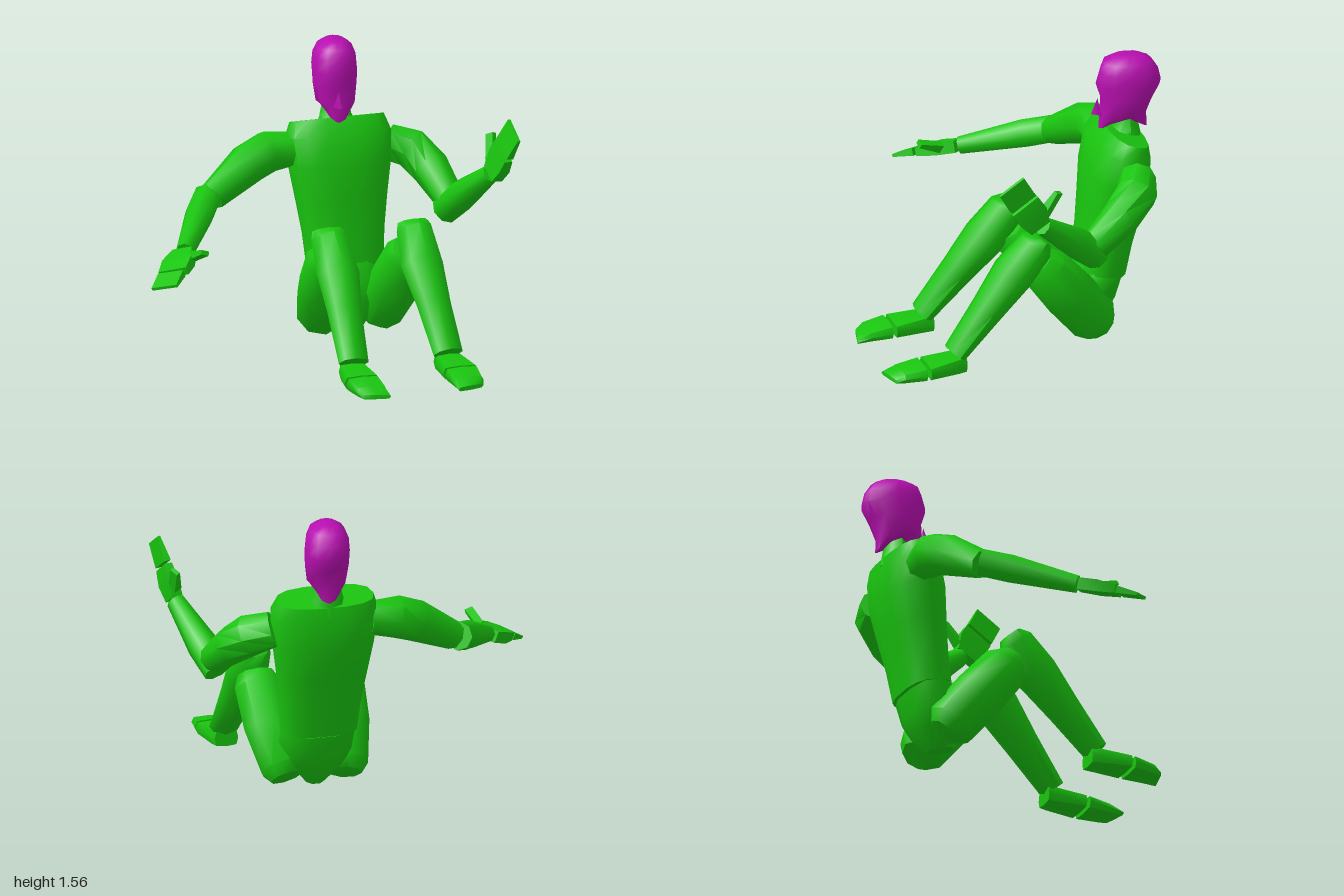
import * as THREE from 'three';
import { toCreasedNormals } from 'three/addons/utils/BufferGeometryUtils.js';

const GREEN = new THREE.MeshStandardMaterial({ color: 0x19c40f });
const PURPLE = new THREE.MeshStandardMaterial({ color: 0xb80fb0 });
const MID = 0.29; // x of the body's plane of symmetry

// Lofts rings along a path. Each section: [x, y, z, half width along side, half depth].
function loft(sections, { side = [1, 0, 0], sides = 8, power = 1, axis = null, tweak = null } = {}) {
  const centres = sections.map(s => new THREE.Vector3(s[0], s[1], s[2]));
  const last = sections.length - 1;
  const verts = [], index = [];
  const box = sides === 4;
  const shape = c => Math.sign(c) * Math.pow(Math.abs(c), power) * (box ? Math.SQRT2 : 1);
  sections.forEach((s, i) => {
    const t = axis ? new THREE.Vector3(...axis)
      : centres[Math.min(i + 1, last)].clone().sub(centres[Math.max(i - 1, 0)]).normalize();
    const u = new THREE.Vector3(...side);
    u.addScaledVector(t, -u.dot(t)).normalize();
    const v = t.clone().cross(u);
    for (let k = 0; k < sides; k++) {
      const a = (k + (box ? 0.5 : 0)) / sides * Math.PI * 2;
      const p = centres[i].clone()
        .addScaledVector(u, shape(Math.cos(a)) * s[3])
        .addScaledVector(v, shape(Math.sin(a)) * s[4]);
      verts.push(p.x, p.y, p.z);
    }
  });
  verts.push(...centres[0].toArray(), ...centres[last].toArray());
  const start = sections.length * sides;
  for (let k = 0; k < sides; k++) {
    const n = (k + 1) % sides;
    for (let i = 0; i < last; i++) {
      const a = i * sides + k, b = i * sides + n;
      index.push(a, b, b + sides, a, b + sides, a + sides);
    }
    index.push(start, n, k, start + 1, last * sides + k, last * sides + n);
  }
  const geo = new THREE.BufferGeometry();
  geo.setAttribute('position', new THREE.Float32BufferAttribute(verts, 3));
  geo.setIndex(index);
  if (tweak) {
    const pos = geo.attributes.position, p = new THREE.Vector3();
    for (let i = 0; i < pos.count; i++) {
      tweak(p.fromBufferAttribute(pos, i));
      pos.setXYZ(i, p.x, p.y, p.z);
    }
  }
  return toCreasedNormals(geo, 0.9);
}

function part(parent, name, sections, options, material = GREEN) {
  const mesh = new THREE.Mesh(loft(sections, options), material);
  mesh.name = name;
  parent.add(mesh);
  return mesh;
}

// Horizontal-ish body section from its height, front z, back z and half width
const slice = (x, y, front, back, hw) => [x, y, (front + back) / 2, hw, (front - back) / 2];

function makeHead() {
  const head = new THREE.Group();
  head.name = 'head';
  part(head, 'skull', [
    slice(0, 1.145, 0.15, -0.11, 0.065),
    slice(0, 1.24, 0.145, -0.105, 0.105),
    slice(0, 1.33, 0.14, -0.14, 0.117),
    slice(0, 1.41, 0.165, -0.185, 0.121),
    slice(0, 1.48, 0.145, -0.17, 0.115),
    slice(0, 1.535, 0.125, -0.135, 0.092),
    slice(0, 1.565, 0.07, -0.08, 0.05),
  ], {
    sides: 12, power: 0.85, axis: [0, 1, 0],
    // arch the underside between chin and nape
    tweak: p => { if (p.y < 1.16) p.y += 0.065 * Math.max(0, 1 - ((p.z - 0.02) / 0.13) ** 2); },
  }, PURPLE);
  const nose = new THREE.Mesh(new THREE.ConeGeometry(0.035, 0.09, 3), PURPLE);
  nose.name = 'nose';
  nose.position.set(0, 1.275, 0.155);
  head.add(nose);
  head.position.set(0.288, 0, -0.63);
  head.rotation.y = -0.17;
  return head;
}

function makeTorso() {
  const torso = new THREE.Group();
  torso.name = 'torso';
  part(torso, 'chest', [
    slice(MID, 0.37, -0.345, -0.595, 0.21),
    slice(MID, 0.55, -0.37, -0.63, 0.225),
    slice(MID, 0.72, -0.385, -0.675, 0.25),
    slice(MID, 0.9, -0.4, -0.715, 0.28),
    slice(MID, 1.06, -0.44, -0.72, 0.295),
    slice(MID, 1.14, -0.5, -0.71, 0.265),
  ], { sides: 14, power: 0.75 });
  part(torso, 'neck', [
    slice(MID, 1.09, -0.5, -0.72, 0.12),
    slice(MID, 1.15, -0.55, -0.7, 0.09),
    slice(MID, 1.25, -0.57, -0.68, 0.07),
  ], { sides: 8 });
  part(torso, 'pelvis', [
    slice(MID, 0.385, -0.35, -0.59, 0.21),
    slice(MID, 0.27, -0.29, -0.56, 0.205),
    slice(MID, 0.17, -0.27, -0.52, 0.16),
    slice(MID, 0.055, -0.29, -0.44, 0.06),
  ], { sides: 10, power: 0.85 });
  return torso;
}

// s = 1 for the left leg, -1 for the right
function makeLeg(s) {
  const leg = new THREE.Group();
  leg.name = s > 0 ? 'leftLeg' : 'rightLeg';
  const at = (dx, y, z, w, d) => [MID + s * dx, y, z, w, d];
  part(leg, 'thigh', [
    at(0.16, 0.085, -0.425, 0.09, 0.085),
    at(0.17, 0.13, -0.39, 0.125, 0.135),
    at(0.205, 0.32, -0.24, 0.14, 0.143),
    at(0.225, 0.5, -0.095, 0.13, 0.13),
    at(0.225, 0.55, -0.055, 0.1, 0.09),
  ]);
  part(leg, 'shin', [
    at(0.24, 0.69, -0.07, 0.085, 0.05),
    at(0.24, 0.65, -0.04, 0.1, 0.105),
    at(0.235, 0.5, 0.09, 0.118, 0.118),
    at(0.25, 0.32, 0.24, 0.095, 0.092),
    at(0.265, 0.1, 0.425, 0.083, 0.06),
  ]);
  part(leg, 'heel', [
    at(0.265, 0.047, 0.375, 0.065, 0.045),
    at(0.27, 0.049, 0.42, 0.075, 0.047),
    at(0.277, 0.041, 0.59, 0.098, 0.037),
  ], { power: 0.45, axis: [0, 0, 1] });
  part(leg, 'toes', [
    at(0.277, 0.04, 0.61, 0.095, 0.038),
    at(0.272, 0.03, 0.73, 0.085, 0.028),
    at(0.265, 0.014, 0.79, 0.076, 0.012),
  ], {
    power: 0.45, axis: [0, 0, 1],
    // slant the tip so the inner toe is longest
    tweak: p => { if (p.z > 0.78) p.z -= s * 0.25 * (p.x - MID - s * 0.265); },
  });
  return leg;
}

function makeArm(name, { upper, fore, palm, fingers, thumb, handSide }) {
  const arm = new THREE.Group();
  arm.name = name;
  const round = pts => pts.map(([x, y, z, r]) => [x, y, z, r, r]);
  part(arm, 'upperArm', round(upper), { side: [0, 1, 0] });
  part(arm, 'forearm', round(fore), { side: [0, 1, 0] });
  const hand = new THREE.Group();
  hand.name = 'hand';
  arm.add(hand);
  const flat = { side: handSide, sides: 4 };
  part(hand, 'palm', palm, flat);
  part(hand, 'fingers', fingers, flat);
  part(hand, 'thumb', thumb, flat);
  return arm;
}

export function createModel() {
  const model = new THREE.Group();
  model.name = 'seatedFigure';
  model.add(makeHead(), makeTorso(), makeLeg(1), makeLeg(-1));

  // Right arm reaches out and down, left arm is bent with the hand raised
  model.add(makeArm('rightArm', {
    upper: [[0.04, 0.995, -0.59, 0.095], [-0.1, 0.99, -0.595, 0.117],
      [-0.22, 0.945, -0.565, 0.112], [-0.455, 0.81, -0.475, 0.077]],
    fore: [[-0.475, 0.81, -0.49, 0.078], [-0.56, 0.765, -0.36, 0.08], [-0.75, 0.655, -0.06, 0.05]],
    palm: [[-0.76, 0.65, -0.05, 0.055, 0.032], [-0.82, 0.625, 0.035, 0.085, 0.032],
      [-0.878, 0.598, 0.118, 0.08, 0.022]],
    fingers: [[-0.89, 0.592, 0.125, 0.075, 0.02], [-0.962, 0.553, 0.213, 0.075, 0.008]],
    thumb: [[-0.75, 0.66, 0.05, 0.02, 0.025], [-0.722, 0.712, 0.18, 0.022, 0.012]],
    handSide: [0.09, 0.03, 0.12],
  }));
  model.add(makeArm('leftArm', {
    upper: [[0.575, 0.98, -0.59, 0.1], [0.69, 0.945, -0.55, 0.113],
      [0.76, 0.86, -0.44, 0.103], [0.81, 0.73, -0.27, 0.08]],
    fore: [[0.79, 0.67, -0.29, 0.08], [0.84, 0.775, -0.17, 0.085], [0.925, 0.955, 0.06, 0.05]],
    palm: [[0.925, 0.96, 0.085, 0.06, 0.03], [0.945, 1.04, 0.13, 0.085, 0.03],
      [0.955, 1.11, 0.175, 0.083, 0.022]],
    fingers: [[0.957, 1.123, 0.185, 0.08, 0.02], [0.985, 1.24, 0.255, 0.08, 0.008]],
    thumb: [[0.93, 1.03, 0.055, 0.025, 0.025], [0.95, 1.15, -0.02, 0.025, 0.012]],
    handSide: [0, -0.1, 0.1],
  }));
  return model;
}
